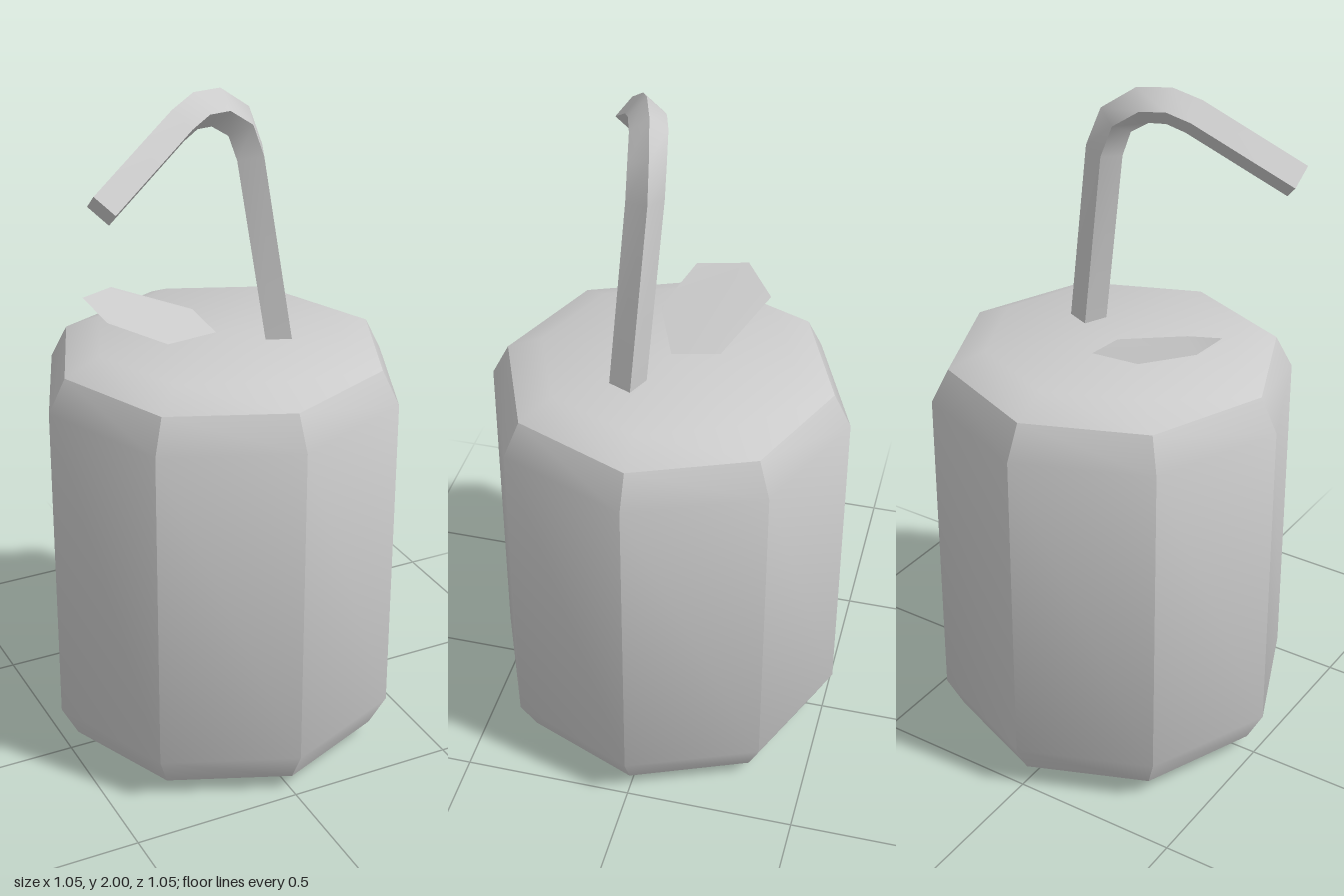
import * as THREE from 'three';
import { toCreasedNormals } from 'three/addons/utils/BufferGeometryUtils.js';

const CREASE = THREE.MathUtils.degToRad(34);
const V = (x, y, z) => new THREE.Vector3(x, y, z);

function makeMesh(name, geometry, side = THREE.FrontSide) {
  const mesh = new THREE.Mesh(geometry, new THREE.MeshStandardMaterial({ color: 0xcccccc, side }));
  mesh.name = name;
  return mesh;
}

function indexed(points, index) {
  const g = new THREE.BufferGeometry().setFromPoints(points);
  g.setIndex(index);
  return g;
}

// Sweep a four-sided section along a path, its corners pointing along the side vector and the bend normal
function sweepSquare(path, side, r) {
  const points = [], index = [], last = path.length - 1;
  path.forEach((p, i) => {
    const before = p.clone().sub(path[Math.max(i - 1, 0)]).normalize();
    const after = path[Math.min(i + 1, last)].clone().sub(p).normalize();
    const normal = side.clone().cross(before.add(after)).normalize();
    for (const [n, s] of [[r, 0], [0, r], [-r, 0], [0, -r]])
      points.push(p.clone().addScaledVector(normal, n).addScaledVector(side, s));
    if (i === last) return;
    for (let k = 0; k < 4; k++) {
      const a = i * 4 + k, b = i * 4 + (k + 1) % 4;
      index.push(a, b, b + 4, a, b + 4, a + 4);
    }
  });
  const e = last * 4;
  index.push(0, 2, 1, 0, 3, 2, e, e + 1, e + 2, e, e + 2, e + 3);
  return toCreasedNormals(indexed(points, index), CREASE);
}

export function createModel() {
  const model = new THREE.Group();
  model.name = 'drinkCan';

  // Octagonal can with bevelled rims
  const profile = [[0, 0], [0.37, 0], [0.475, 0.05], [0.525, 0.145],
    [0.525, 1.12], [0.475, 1.218], [0.37, 1.265], [0, 1.265]]
    .map(([r, y]) => new THREE.Vector2(r, y));
  model.add(makeMesh('canBody', toCreasedNormals(new THREE.LatheGeometry(profile, 8), CREASE)));

  // Bent drinking straw
  const path = [V(0.143, 1.255, 0.08), V(0.065, 1.8, 0.047), V(0.03, 1.893, 0.05),
    V(-0.045, 1.945, 0.065), V(-0.115, 1.95, 0.087), V(-0.177, 1.925, 0.112), V(-0.44, 1.765, 0.215)];
  model.add(makeMesh('straw', sweepSquare(path, V(0.37, 0, 0.93).normalize(), 0.052)));

  // Raised opening tab
  const tab = indexed([V(-0.355, 1.38, -0.15), V(-0.345, 1.36, 0.003), V(-0.195, 1.295, 0.072),
    V(-0.012, 1.267, -0.005), V(-0.02, 1.287, -0.145), V(-0.23, 1.357, -0.242)],
  [0, 1, 2, 0, 2, 3, 0, 3, 4, 0, 4, 5]);
  tab.computeVertexNormals();
  model.add(makeMesh('openingTab', tab, THREE.DoubleSide));

  return model;
}
